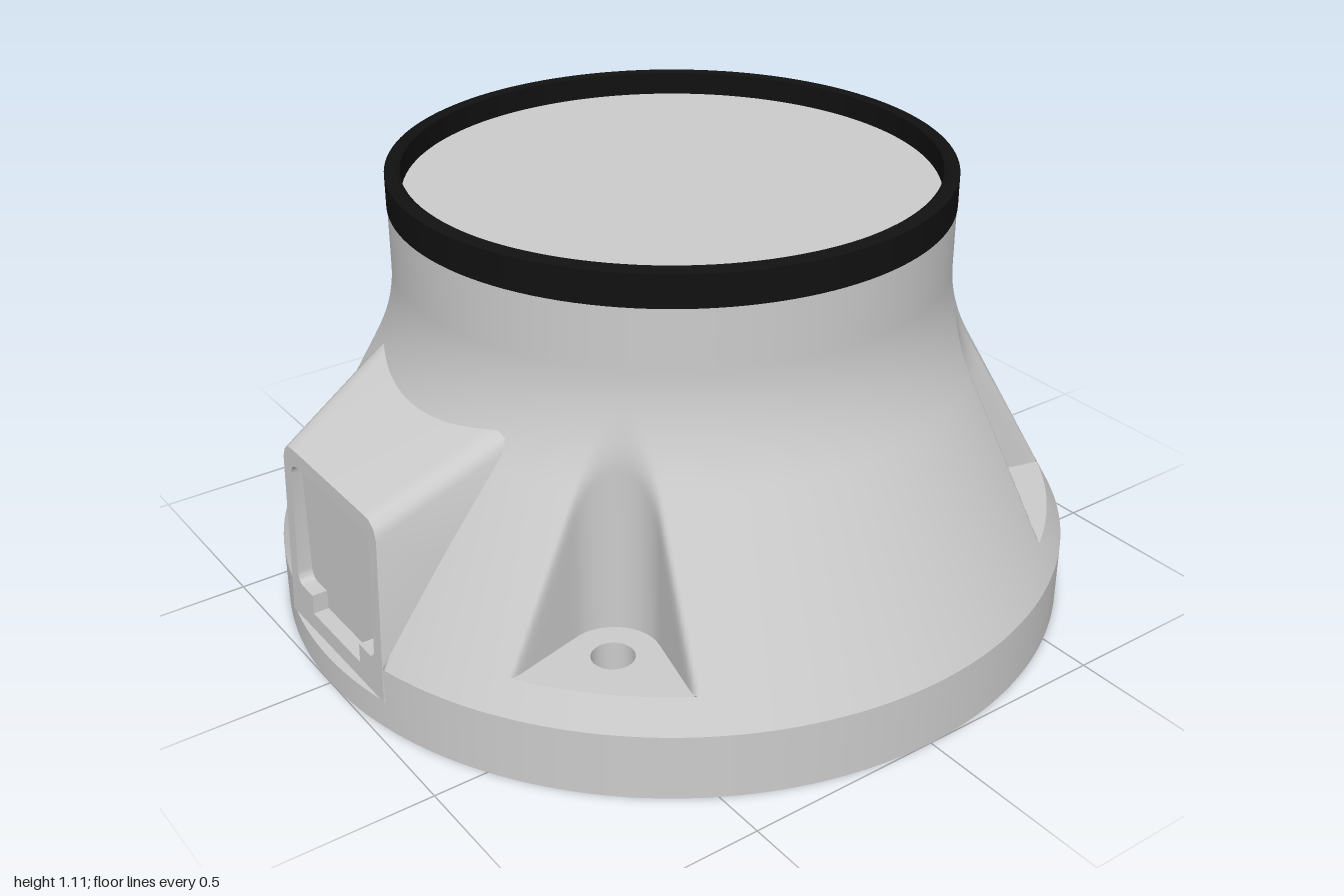
import * as THREE from 'three';
import { toCreasedNormals } from 'three/addons/utils/BufferGeometryUtils.js';

const grey = new THREE.MeshStandardMaterial({ color: 0xcccccc, side: THREE.DoubleSide });
const black = new THREE.MeshStandardMaterial({ color: 0x111111, side: THREE.DoubleSide });
const TAU = Math.PI * 2;
const FLOOR = 0.24, HUB = 0.6, BOLT = 0.82;

function mesh(name, geometry, material = grey) {
  const m = new THREE.Mesh(geometry, material);
  m.name = name;
  return m;
}

// Surface from a rule: fn(i, j) gives the point of row j, column i
function grid(cols, rows, fn) {
  const pos = [], idx = [];
  for (let j = 0; j <= rows; j++) for (let i = 0; i <= cols; i++) pos.push(...fn(i, j));
  for (let j = 0; j < rows; j++) for (let i = 0; i < cols; i++) {
    const a = j * (cols + 1) + i, b = a + cols + 1;
    idx.push(a, b, a + 1, a + 1, b, b + 1);
  }
  const g = new THREE.BufferGeometry();
  g.setAttribute('position', new THREE.Float32BufferAttribute(pos, 3));
  g.setIndex(idx);
  g.computeVertexNormals();
  return g;
}

const polar = (r, t, y) => [r * Math.cos(t), y, r * Math.sin(t)];

function softMin(a, b, k) {
  const h = Math.max(k - Math.abs(a - b), 0) / k;
  return Math.min(a, b) - h * h * k / 4;
}

// Plain housing profile: cone blending into the neck
const profile = y => -softMin(-(1 - Math.max(0, y - 0.165) * 0.55), -0.68, 0.07);

// Radius of the bolt recess wall, f being the angle from its diagonal
function notch(f) {
  f = Math.abs(f);
  if (f < 0.1226) return BOLT * Math.cos(f) - Math.sqrt(0.0121 - (BOLT * Math.sin(f)) ** 2);
  const d = 0.6 * Math.cos(f) - Math.sin(f);
  return d > 0.1 ? 0.364 / d : 9;
}

const fromDiagonal = t => ((t % (TAU / 4)) + TAU / 4) % (TAU / 4) - TAU / 8;

// Keep the housing behind the connector panel
function limit(r, t, x) {
  const c = -Math.cos(t);
  return c > 0.9 && Math.abs(r * Math.sin(t)) < 0.215 ? Math.min(r, x / c) : r;
}

const bodyRadius = (t, y) =>
  limit(softMin(profile(y), notch(fromDiagonal(t)), 0.022), t, 0.932);

function circlePath(x, y, r) {
  return new THREE.Path().absarc(x, y, r, 0, TAU, true);
}

// Underside pocket: half angle at radius r, and outer wall radius at height y
const halfAngle = r => Math.PI / 4 - Math.asin((0.13 + 0.3 * Math.max(0, r - 0.66)) / r);
const outerWall = y => 0.93 - Math.max(0, y - 0.14) * 0.55;
const POCKET_TOP = 0.58;

function addPocket(group, mid) {
  const at = (r, u, y) => polar(r, mid + u * halfAngle(r), y);
  const ys = [0, 0.14, POCKET_TOP];
  const pocket = new THREE.Group();
  pocket.name = 'undersidePocket';
  pocket.add(
    mesh('pocketHubWall', grid(32, 1, (i, j) => at(HUB, i / 16 - 1, j * POCKET_TOP))),
    mesh('pocketOuterWall', toCreasedNormals(
      grid(32, 2, (i, j) => at(outerWall(ys[j]), i / 16 - 1, ys[j])), 0.4)),
    mesh('pocketCeiling', grid(32, 1, (i, j) =>
      at(j ? outerWall(POCKET_TOP) : HUB, i / 16 - 1, POCKET_TOP))));
  for (const s of [-1, 1]) pocket.add(mesh('pocketSideWall', grid(8, 2, (i, j) =>
    at(HUB + (outerWall(ys[j]) - HUB) * i / 8, s, ys[j]))));
  group.add(pocket);
}

function pocketOutline(mid) {
  const pts = [], n = 24;
  const put = (r, u) => pts.push(new THREE.Vector2(r * Math.cos(mid + u * halfAngle(r)), r * Math.sin(mid + u * halfAngle(r))));
  for (let i = 0; i <= n; i++) put(0.93, i / n * 2 - 1);
  for (let i = 1; i < 8; i++) put(0.93 - (0.93 - HUB) * i / 8, 1);
  for (let i = 0; i <= n; i++) put(HUB, 1 - i / n * 2);
  for (let i = 1; i < 8; i++) put(HUB + (0.93 - HUB) * i / 8, -1);
  return new THREE.Path(pts);
}

function addConnector(group) {
  const faceX = y => -(0.976 - 0.035 * (y - 0.075));
  // Half-arch section with softened top corners, as [z, y]
  const section = (w, y0, top) => {
    const half = [[w, y0], [w, top - 0.04], [w - 0.01, top - 0.015], [w - 0.03, top - 0.002], [w - 0.06, top]];
    return [...half, ...half.map(([z, y]) => [-z, y]).reverse()];
  };
  const outer = section(0.232, 0.075, 0.54), inner = section(0.31, 0.3, 0.73);
  const connector = new THREE.Group();
  connector.name = 'connectorHousing';
  connector.add(mesh('connectorShell', toCreasedNormals(grid(9, 1, (i, j) => {
    const [z, y] = (j ? inner : outer)[i];
    return [j ? -0.6 : faceX(y), y, z];
  }), 0.6)));

  // Front frame with a rounded window, narrower at its foot
  const frame = new THREE.Shape(outer.map(([z, y]) => new THREE.Vector2(z, y)));
  const win = new THREE.Path();
  win.moveTo(-0.12, 0.12);
  win.lineTo(0.12, 0.12);
  win.lineTo(0.12, 0.17);
  win.lineTo(0.17, 0.17);
  win.quadraticCurveTo(0.195, 0.17, 0.195, 0.2);
  win.lineTo(0.195, 0.46);
  win.quadraticCurveTo(0.195, 0.5, 0.155, 0.5);
  win.lineTo(-0.155, 0.5);
  win.quadraticCurveTo(-0.195, 0.5, -0.195, 0.46);
  win.lineTo(-0.195, 0.2);
  win.quadraticCurveTo(-0.195, 0.17, -0.17, 0.17);
  win.lineTo(-0.12, 0.17);
  win.closePath();
  frame.holes.push(win);
  const face = new THREE.ShapeGeometry(frame, 8);
  const p = face.attributes.position;
  for (let i = 0; i < p.count; i++) p.setXYZ(i, faceX(p.getY(i)), p.getY(i), p.getX(i));
  face.computeVertexNormals();
  connector.add(mesh('connectorFrame', face));

  const rim = win.getPoints(8);
  connector.add(mesh('connectorWindowWall', toCreasedNormals(grid(rim.length - 1, 1, (i, j) =>
    [j ? -0.935 : faceX(rim[i].y), rim[i].y, rim[i].x]), 0.6)));
  const panel = new THREE.PlaneGeometry(0.42, 0.42).rotateY(-Math.PI / 2).translate(-0.935, 0.31, 0);
  connector.add(mesh('connectorBackPanel', panel));
  // Underside of the connector bay, seen inside its pocket
  connector.add(mesh('connectorBay', new THREE.BoxGeometry(0.3, 0.1, 0.42).translate(-0.77, 0.14, 0)));
  group.add(connector);
}

export function createModel() {
  const model = new THREE.Group();
  model.name = 'flangedHousing';

  // Base rim, with a flat cut below the connector
  const cut = (r, t) => {
    const c = -Math.cos(t);
    return c > 0.9 && Math.abs(Math.sin(t)) < 0.225 ? Math.min(r, 0.932 / c) : r;
  };
  const N = 720, ang = i => i / N * TAU;
  const rimRows = [[0, 0], [0.075, 0], [0.075, 1], [0.165, 1]];
  model.add(mesh('baseRim', toCreasedNormals(grid(N, 3, (i, j) =>
    polar(rimRows[j][1] ? cut(1, ang(i)) : 1, ang(i), rimRows[j][0])), 0.6)));
  model.add(mesh('coneFoot', grid(N, 1, (i, j) => {
    const y = j ? FLOOR : 0.165;
    return polar(cut(profile(y), ang(i)), ang(i), y);
  })));

  // Cone with the four bolt recesses, running up into the neck
  const rows = 44;
  model.add(mesh('body', grid(N, rows, (i, j) => {
    const y = j === rows ? 1.03 : FLOOR + (0.9 - FLOOR) * j / (rows - 1);
    return polar(bodyRadius(ang(i), y), ang(i), y);
  })));

  // Underside plate with pockets, bolt holes and a shallow centre recess
  const plate = new THREE.Shape().absarc(0, 0, 1, 0, TAU);
  plate.holes.push(circlePath(0, 0, 0.485));

  for (let k = 0; k < 4; k++) {
    const mid = k * TAU / 4, d = mid + TAU / 8;
    plate.holes.push(pocketOutline(mid));
    addPocket(model, mid);

    // Bolt seat and through hole
    const bx = BOLT * Math.cos(d), bz = BOLT * Math.sin(d);
    plate.holes.push(circlePath(bx, bz, 0.05));
    const edge = profile(FLOOR), inside = [], outside = [];
    for (let f = -0.23; f <= 0.23; f += 0.005) {
      const r = bodyRadius(d + f, FLOOR);
      if (r > edge - 0.002) continue;
      inside.push(new THREE.Vector2(r * Math.cos(d + f), r * Math.sin(d + f)));
      outside.unshift(new THREE.Vector2(edge * Math.cos(d + f), edge * Math.sin(d + f)));
    }
    const seat = new THREE.Shape([...inside, ...outside]);
    seat.holes.push(circlePath(bx, bz, 0.05));
    model.add(mesh('boltSeat', new THREE.ShapeGeometry(seat, 24).rotateX(-Math.PI / 2).scale(1, 1, -1).translate(0, FLOOR, 0)));
    const seatGeo = model.children[model.children.length - 1].geometry;
    seatGeo.setIndex([...seatGeo.index.array].reverse());
    seatGeo.computeVertexNormals();
    model.add(mesh('boltHole', new THREE.CylinderGeometry(0.05, 0.05, FLOOR, 32, 1, true).translate(bx, FLOOR / 2, bz)));
  }
  model.add(mesh('bottomPlate', new THREE.ShapeGeometry(plate, 120).rotateX(Math.PI / 2)));
  model.add(mesh('centreRecessWall', new THREE.CylinderGeometry(0.485, 0.485, 0.025, 96, 1, true).translate(0, 0.0125, 0)));
  model.add(mesh('centreRecessFloor', new THREE.CircleGeometry(0.485, 96).rotateX(Math.PI / 2).translate(0, 0.025, 0)));

  addConnector(model);

  // Black collar and the disc set inside it
  const collar = [[0.678, 1.025], [0.682, 1.025], [0.682, 1.104], [0.655, 1.112], [0.645, 1.106], [0.645, 1.03]]
    .map(([r, y]) => new THREE.Vector2(r, y));
  model.add(mesh('collar', toCreasedNormals(new THREE.LatheGeometry(collar, 128), 0.2), black));
  model.add(mesh('topDisc', new THREE.CircleGeometry(0.65, 128).rotateX(-Math.PI / 2).translate(0, 1.048, 0)));
  return model;
}
